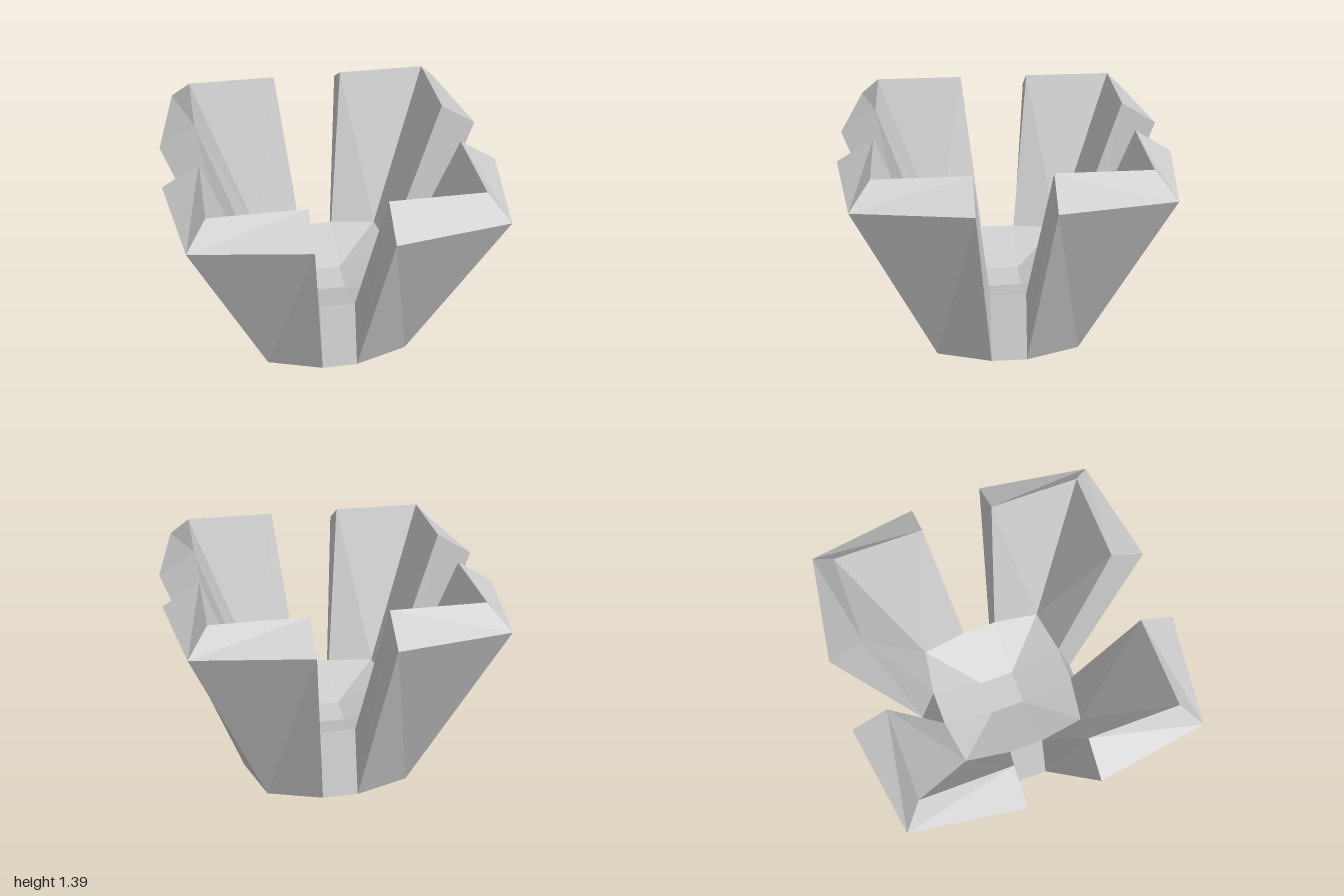
import * as THREE from 'three';

const material = new THREE.MeshStandardMaterial({ color: 0xcccccc, flatShading: true });

// Corner points of one eighth of the shape: "Gap" lies beside a gap, "Corner" on the diagonal.
const baseGap = [0.111, 0, 0.555], baseCorner = [0.447, 0, 0.447];
const rimGap = [0.222, 1.25, 1], rimCorner = [0.897, 1.25, 0.897];
const crestGap = [0.222, 1.39, 0.777], crestCorner = [0.777, 1.39, 0.777];
const floorGap = [0.111, 0.415, 0.447], floorCorner = [0.402, 0.415, 0.402];
const well = [0.111, 0.278, 0.111];

const flipX = ([x, y, z]) => [-x, y, z];
const swapXZ = ([x, y, z]) => [z, y, x];

// Splits convex polygons into fans from their first corner.
function fans(polygons) {
  const positions = [];
  for (const p of polygons) {
    for (let i = 1; i < p.length - 1; i++) positions.push(...p[0], ...p[i], ...p[i + 1]);
  }
  const geometry = new THREE.BufferGeometry();
  geometry.setAttribute('position', new THREE.Float32BufferAttribute(positions, 3));
  geometry.computeVertexNormals();
  return geometry;
}

// Adds the mirror image of each polygon, with its corners reversed to keep it facing outward.
const mirrored = (polygons, mirror) => [
  ...polygons,
  ...polygons.map((p) => {
    const m = p.map(mirror);
    // keep the same fan corner first so the diagonals mirror too
    return [m[0], ...m.slice(1).reverse()];
  }),
];

export function createModel() {
  const group = new THREE.Group();

  const parts = {
    // Folded corner petal: outer panel, sloping crest, inner panel, end face
    petal: fans(mirrored([
      [baseCorner, rimCorner, rimGap, baseGap],
      [rimCorner, crestCorner, crestGap, rimGap],
      [floorCorner, floorGap, crestGap, crestCorner],
      [baseGap, rimGap, crestGap, floorGap],
    ], swapXZ)),

    // Low wall in the gap between two petals
    gapWall: fans([[flipX(baseGap), baseGap, floorGap, flipX(floorGap)]]),

    // Quarter of the shallow bowl inside
    bowlFloor: fans([
      [flipX(well), flipX(floorGap), floorGap, well],
      ...mirrored([[well, floorGap, floorCorner]], flipX),
      [flipX(well), well, [0, well[1], 0]],
    ]),

    // Quarter of the flat underside
    underside: fans([
      [[0, 0, 0], baseCorner, baseGap, flipX(baseGap), flipX(baseCorner)],
    ]),
  };

  // Four-fold symmetry around the vertical axis
  for (const [name, geometry] of Object.entries(parts)) {
    for (let i = 0; i < 4; i++) {
      const mesh = new THREE.Mesh(geometry, material);
      mesh.name = name + (i + 1);
      mesh.rotation.y = (i * Math.PI) / 2;
      group.add(mesh);
    }
  }
  return group;
}
